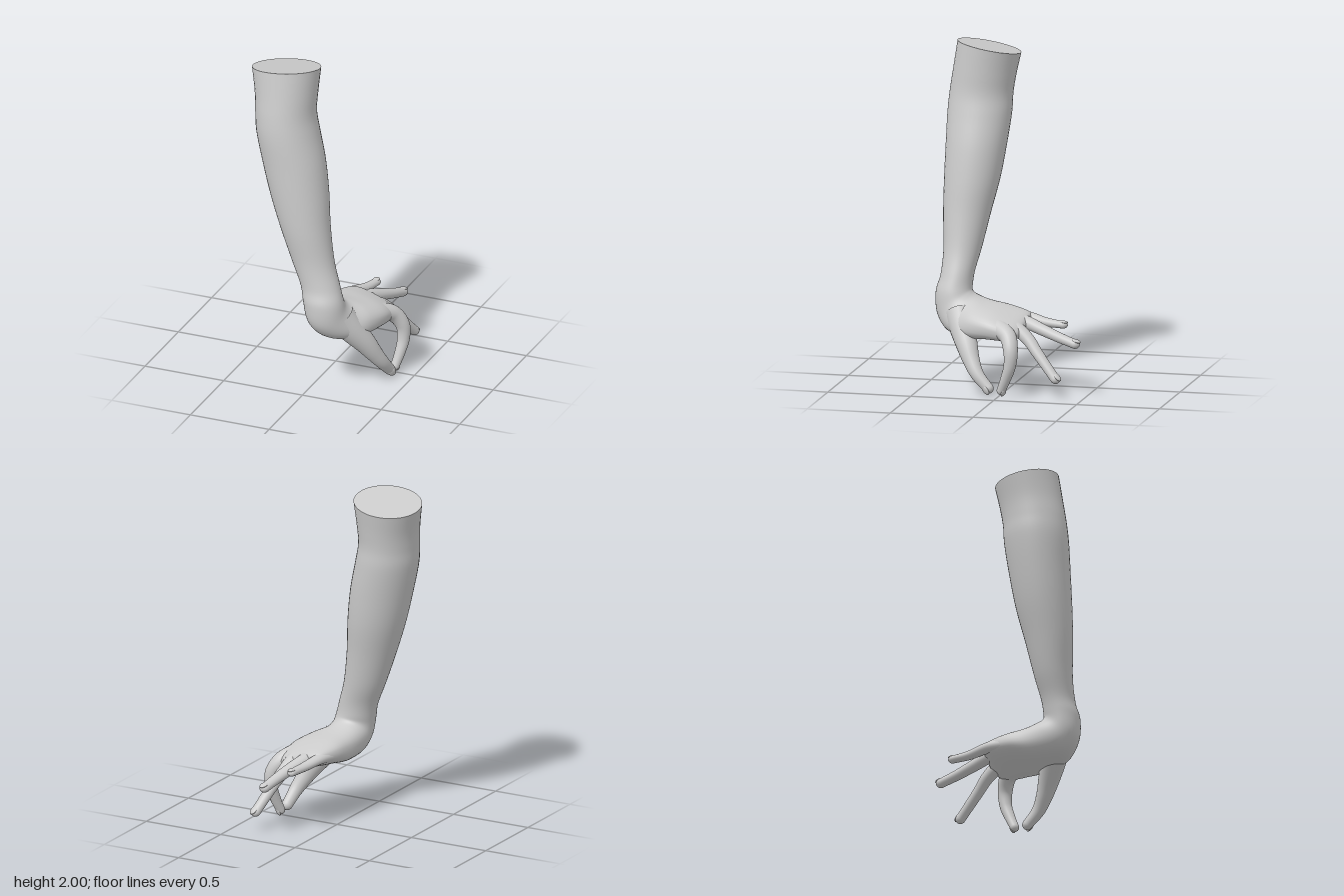
import * as THREE from 'three';

const material = new THREE.MeshStandardMaterial({ color: 0xcccccc });
const V = (p) => new THREE.Vector3(...p);
const spline = (pts) => new THREE.CatmullRomCurve3(pts.map(V), false, 'catmullrom', 0.5);

// Skin over rings { c: centre, a: side half-axis, b: dorsal half-axis, e: exponent }
function loft(rings, n = 40) {
  const pos = [], index = [];
  const pw = (v, e) => Math.sign(v) * Math.abs(v) ** e;
  rings.forEach(({ c, a, b, e = 1 }, i) => {
    for (let j = 0; j < n; j++) {
      const t = (j / n) * Math.PI * 2;
      const p = c.clone().addScaledVector(a, pw(Math.cos(t), e)).addScaledVector(b, -pw(Math.sin(t), e));
      pos.push(p.x, p.y, p.z);
      if (i === rings.length - 1) continue;
      const k = i * n + j, l = i * n + ((j + 1) % n);
      index.push(k, l, k + n, l, l + n, k + n);
    }
  });
  // close the far end
  const last = (rings.length - 1) * n;
  pos.push(...rings[rings.length - 1].c.toArray());
  for (let j = 0; j < n; j++) index.push(last + j, last + ((j + 1) % n), last + n);
  const g = new THREE.BufferGeometry();
  g.setAttribute('position', new THREE.Float32BufferAttribute(pos, 3));
  g.setIndex(index);
  g.computeVertexNormals();
  return g;
}

function add(parent, name, geometry) {
  const mesh = new THREE.Mesh(geometry, material);
  mesh.name = name;
  parent.add(mesh);
  return mesh;
}

// Forearm: x, y, z of the centre, half width, half depth
const forearm = [
  [-0.225, 1.965, 0.205, 0.206, 0.186],
  [-0.215, 1.82, 0.23, 0.187, 0.185],
  [-0.21, 1.7, 0.248, 0.18, 0.187],
  [-0.193, 1.58, 0.255, 0.187, 0.19],
  [-0.152, 1.4, 0.265, 0.188, 0.18],
  [-0.11, 1.2, 0.28, 0.175, 0.165],
  [-0.065, 1, 0.3, 0.15, 0.14],
  [-0.012, 0.8, 0.313, 0.128, 0.112],
];

// Wrist and palm: centre, side half-axis, dorsal half-axis
const hand = [
  [[0.04, 0.66, 0.33], [0.118, 0, 0], [0, 0.01, -0.1]],
  [[0.066, 0.57, 0.345], [0.12, 0, 0], [0, 0.02, -0.108]],
  [[0.083, 0.49, 0.335], [0.122, 0, 0], [0, 0.07, -0.104]],
  [[0.105, 0.435, 0.28], [0.14, -0.01, 0.02], [0, 0.1, -0.08]],
  [[0.145, 0.41, 0.18], [0.165, -0.02, 0.04], [0.01, 0.1, -0.04]],
  [[0.175, 0.405, 0.06], [0.18, -0.03, 0.03], [0.015, 0.08, -0.02]],
  [[0.19, 0.393, -0.04], [0.168, -0.04, 0.02], [0.015, 0.06, -0.015]],
  [[0.19, 0.388, -0.095], [0.142, -0.04, 0.015], [0.01, 0.042, -0.01]],
  [[0.19, 0.385, -0.122], [0.1, -0.03, 0.01], [0.005, 0.02, 0]],
];

function armRings() {
  // the upper forearm sections tilt towards the slanted cut
  const upper = forearm.map(([x, y, z, w, d]) => {
    const tilt = Math.max(0, y - 1.65) * 0.063;
    return [[x, y, z], [w, tilt, 0], [0, -1.75 * tilt, -d]];
  });
  const sections = [...upper, ...hand];
  const [c, a, b] = [0, 1, 2].map((k) => spline(sections.map((s) => s[k])));
  return Array.from({ length: 97 }, (_, i) => {
    const t = i / 96;
    return {
      c: c.getPoint(t), a: a.getPoint(t), b: b.getPoint(t),
      e: 1 - 0.2 * THREE.MathUtils.smoothstep(t, 0.6, 0.8),
    };
  });
}

// Flat disc over the upper cut
function cutGeometry({ c, a, b }, n = 40) {
  const pos = [];
  const rim = (j) => {
    const t = (j / n) * Math.PI * 2;
    return c.clone().addScaledVector(a, Math.cos(t)).addScaledVector(b, -Math.sin(t)).toArray();
  };
  for (let j = 0; j < n; j++) pos.push(...c.toArray(), ...rim(j + 1), ...rim(j));
  const g = new THREE.BufferGeometry();
  g.setAttribute('position', new THREE.Float32BufferAttribute(pos, 3));
  g.computeVertexNormals();
  return g;
}

// One finger along a path, tapering from base to tip radius; side is its sideways direction
function buildFinger(name, side, flat, base, tip, path) {
  const group = new THREE.Group();
  group.name = name;
  const curve = spline(path);
  const frame = (t) => {
    const dir = curve.getTangent(t);
    const a = V(side);
    a.addScaledVector(dir, -a.dot(dir)).normalize();
    return { dir, a, up: a.clone().cross(dir) };
  };
  const ring = (t, scale, push) => {
    const { dir, a, up } = frame(t), r = tip + (base - tip) * (1 - t) ** 1.3;
    return {
      c: curve.getPoint(t).addScaledVector(dir, r * push),
      a: a.multiplyScalar(r * scale), b: up.multiplyScalar(r * scale * flat),
    };
  };
  const rings = [];
  for (let i = 0; i <= 40; i++) rings.push(ring(i / 40, 1, 0));
  // rounded tip
  for (let i = 1; i <= 7; i++) {
    const q = (i / 7.3) * Math.PI / 2;
    rings.push(ring(1, Math.cos(q), Math.sin(q)));
  }
  add(group, name + 'Skin', loft(rings, 24));

  // nail on the back of the tip
  const { dir, a, up } = frame(1);
  const nail = add(group, name + 'Nail', new THREE.SphereGeometry(1, 20, 12));
  nail.quaternion.setFromRotationMatrix(new THREE.Matrix4().makeBasis(a, up, dir.clone().negate()));
  nail.scale.set(tip * 0.72, tip * 0.3, tip * 0.95);
  nail.position.copy(curve.getPoint(1)).addScaledVector(up, tip * flat * 0.75).addScaledVector(dir, tip * 0.1);
  return group;
}

export function createModel() {
  const model = new THREE.Group();
  model.name = 'armWithPinchingHand';
  const rings = armRings();
  add(model, 'forearmAndPalm', loft(rings));
  add(model, 'upperCut', cutGeometry(rings[0]));
  model.add(
    buildFinger('littleFinger', [1, 0, 0.25], 0.82, 0.046, 0.027,
      [[0.05, 0.42, 0], [0.066, 0.42, -0.1], [0.1, 0.4, -0.22], [0.12, 0.393, -0.325]]),
    buildFinger('ringFinger', [1, 0, 0.25], 0.88, 0.05, 0.031,
      [[0.13, 0.41, 0], [0.15, 0.407, -0.1], [0.19, 0.375, -0.21], [0.223, 0.34, -0.32], [0.246, 0.308, -0.425]]),
    buildFinger('middleFinger', [1, 0, 0.4], 0.9, 0.053, 0.031,
      [[0.225, 0.41, 0.02], [0.25, 0.38, -0.08], [0.275, 0.325, -0.155], [0.308, 0.25, -0.22], [0.357, 0.118, -0.335]]),
    buildFinger('indexFinger', [1, 0.2, 0.4], 0.95, 0.06, 0.028,
      [[0.285, 0.39, 0.03], [0.345, 0.355, -0.045], [0.393, 0.28, -0.075], [0.4, 0.19, -0.072], [0.388, 0.105, -0.043], [0.372, 0.036, -0.014]]),
    buildFinger('thumb', [-0.52, -0.53, 0.43], 0.95, 0.095, 0.033,
      [[0.15, 0.44, 0.29], [0.215, 0.355, 0.255], [0.275, 0.27, 0.215], [0.317, 0.195, 0.18], [0.353, 0.12, 0.135], [0.372, 0.045, 0.065]]),
  );
  return model;
}
